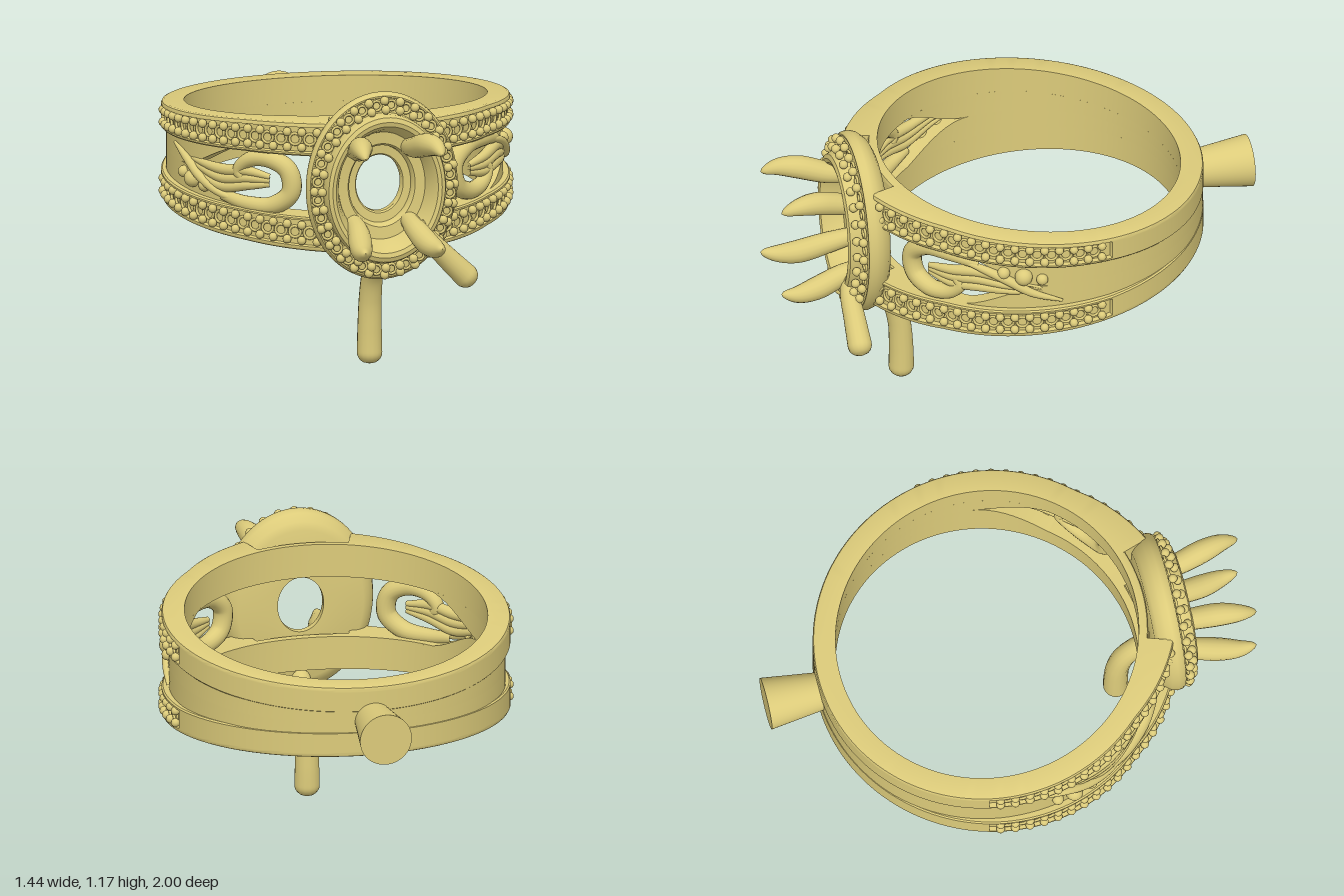
import * as THREE from 'three';
import { mergeGeometries, mergeVertices, toCreasedNormals } from 'three/addons/utils/BufferGeometryUtils.js';

const gold = new THREE.MeshStandardMaterial({ color: 0xdccb7a });
const CY = 0.78, CZ = -0.08, R_IN = 0.612;
const PAVE_START = 0.3, PAVE_END = 1.8, OVAL = 1.23;
const { clamp, lerp, smoothstep } = THREE.MathUtils;

function add(parent, name, geometry) {
  const mesh = new THREE.Mesh(geometry, gold);
  mesh.name = name;
  parent.add(mesh);
  return mesh;
}

// Point on the band: angle from the front, height from the mid-plane, radius
const onBand = (phi, y, r) => new THREE.Vector3(r * Math.sin(phi), y, CZ + r * Math.cos(phi));

// Band dimensions as functions of the angle
const outerR = a => (a < PAVE_START ? 0.65 : lerp(0.755, 0.704, clamp((a - 0.3) / 0.5, 0, 1)));
const zAt = a => CZ + 0.7 * Math.cos(a);
const topY = a => 0.15 + 0.086 * (zAt(a) + 0.78);
const railWidth = a => 0.11 + 0.03 * clamp((zAt(a) + 0.24) / 0.84, 0, 1);
const railY = a => topY(a) - railWidth(a);

// Sweeps a closed [radius, y] section round the finger axis
function sweep(angles, section) {
  const pos = [], index = [];
  const rings = angles.map(phi => section(Math.abs(phi)).map(([r, y]) => onBand(phi, y, r)));
  const n = rings[0].length;
  rings.forEach((ring, j) => ring.forEach((p, i) => {
    pos.push(p.x, p.y, p.z);
    if (j === rings.length - 1) return;
    const a = j * n + i, d = j * n + (i + 1) % n, b = a + n, c = d + n;
    index.push(a, b, c, a, c, d);
  }));
  const g = new THREE.BufferGeometry();
  g.setAttribute('position', new THREE.Float32BufferAttribute(pos, 3));
  g.setIndex(index);
  return toCreasedNormals(g, 0.6);
}

// Tube through points with a radius rule along its length
function taperTube(points, radius, segments = 40) {
  const curve = new THREE.CatmullRomCurve3(points);
  const g = new THREE.TubeGeometry(curve, segments, 1, 16);
  const p = g.attributes.position, v = new THREE.Vector3();
  for (let i = 0; i < p.count; i++) {
    const u = Math.floor(i / 17) / segments, c = curve.getPointAt(u);
    v.fromBufferAttribute(p, i).sub(c).multiplyScalar(Math.max(radius(u), 0.0005)).add(c);
    p.setXYZ(i, v.x, v.y, v.z);
  }
  g.deleteAttribute('uv');
  g.deleteAttribute('normal');
  const merged = mergeVertices(g, 1e-5);
  merged.computeVertexNormals();
  return merged;
}

// Radius factor that rounds off the end of a tube
const roundEnd = (u, e) => (u < 1 - e ? 1 : Math.sqrt(Math.max(0, 1 - ((u - 1 + e) / e) ** 2)));
const V = (x, y, z) => new THREE.Vector3(x, y, z);

// Upper half of the band with one side ornament; turned over it gives the other half
function bandHalf() {
  const half = new THREE.Group();
  const angles = [];
  for (let i = 0; i <= 144; i++) angles.push(-Math.PI + (i / 144) * 2 * Math.PI);
  for (const s of [-1, 1]) for (const a of [PAVE_START, PAVE_END]) angles.push(s * (a - 0.001), s * (a + 0.001));
  angles.sort((a, b) => a - b);

  // Rail, with a sunken channel along the set length
  add(half, 'rail', sweep(angles, a => {
    const lo = railY(a), hi = topY(a), r = outerR(a);
    const d = a > PAVE_START && a < PAVE_END ? 0.02 : 0;
    return [[R_IN, lo], [r - 0.006, lo], [r, lo + 0.006], [r, lo + 0.013], [r - d, lo + 0.016],
      [r - d, hi - 0.022], [r, hi - 0.019], [r, hi - 0.012], [r - 0.004, hi - 0.004], [r - 0.012, hi], [R_IN, hi]];
  }));

  // Web that closes the side window towards the back
  const webAngles = [];
  for (let i = 0; i <= 80; i++) webAngles.push(lerp(0.8, 2 * Math.PI - 0.8, i / 80));
  add(half, 'backWeb', sweep(webAngles, phi => {
    const a = Math.PI - Math.abs(phi - Math.PI);
    const hi = railY(a) + 0.004, lo = hi * (1 - smoothstep(a, 0.85, 1.42));
    const r = lerp(0.675, 0.702, smoothstep(a, 1.4, 2.5));
    return [[R_IN, lo], [r, lo], [r, hi], [R_IN, hi]];
  }));

  // Beads in two rows with round seats between them
  const beads = [], seats = [];
  for (const s of [-1, 1]) for (let k = 0; k < 17; k++) {
    const a = 0.36 + k * 0.086, mid = topY(a) - railWidth(a) / 2 - 0.003, r = outerR(a);
    for (const dy of [-1, 1]) {
      const p = onBand(s * a, mid + dy * railWidth(a) * 0.23, r - 0.004);
      beads.push(new THREE.SphereGeometry(0.018, 12, 8).translate(p.x, p.y, p.z));
    }
    const b = a + 0.043;
    if (b < PAVE_END - 0.03) seats.push(new THREE.TorusGeometry(0.023, 0.006, 6, 16)
      .translate(0, topY(b) - railWidth(b) / 2 - 0.003, outerR(b) - 0.016).rotateY(s * b).translate(0, 0, CZ));
  }
  add(half, 'railBeads', mergeGeometries(beads));
  add(half, 'railSeats', mergeGeometries(seats));

  // Scroll with curling hook, leaf strands and berries
  const path = (pts, r) => pts.map(([phi, y]) => onBand(phi, y, r));
  add(half, 'scrollHook', taperTube(
    path([[1.0, 0.085], [0.82, 0.105], [0.64, 0.1], [0.53, 0.04], [0.55, -0.05], [0.67, -0.09], [0.81, -0.075], [0.88, -0.025], [0.82, 0.01]], 0.672),
    u => lerp(0.022, 0.04, Math.sin(Math.PI * u)) * roundEnd(u, 0.06), 64));
  [[0.03, 0.05, -0.01], [0.0, 0.015, -0.025], [-0.03, -0.02, -0.035]].forEach(([a, b, c]) =>
    add(half, 'leafStrand', taperTube(
      path([[0.66, a * 0.5], [0.82, a], [1.0, b], [1.2, (b + c) / 2], [1.38, c]], 0.672),
      u => 0.006 + 0.017 * Math.sin(Math.PI * Math.min(1, u + 0.1)))));
  add(half, 'leafEdge', taperTube(
    path([[0.85, 0.1], [1.02, 0.075], [1.18, 0.03], [1.32, -0.025], [1.5, -0.07]], 0.685),
    u => 0.006 + 0.014 * Math.sin(Math.PI * u)));
  [[1.27, 0.048, 0.036], [1.15, 0.062, 0.026], [1.38, 0.035, 0.024]].forEach(([phi, y, r]) =>
    add(half, 'berry', new THREE.SphereGeometry(r, 20, 14)).position.copy(onBand(phi, y, 0.68)));
  return half;
}

// Oval setting: stepped bowl, beaded halo and four claws
function setting() {
  const head = new THREE.Group();
  const profile = [[0.095, 0.57], [0.26, 0.57], [0.285, 0.585], [0.308, 0.615], [0.315, 0.64], [0.313, 0.66], [0.305, 0.672],
    [0.3, 0.672], [0.298, 0.668], [0.25, 0.675], [0.25, 0.715], [0.243, 0.733], [0.228, 0.74], [0.213, 0.735], [0.2, 0.715],
    [0.185, 0.67], [0.18, 0.65], [0.14, 0.645], [0.133, 0.635], [0.13, 0.612], [0.1, 0.608], [0.095, 0.6], [0.095, 0.57]];
  const bowl = new THREE.LatheGeometry(profile.map(([r, z]) => new THREE.Vector2(r, z)), 96);
  bowl.scale(1, 1, OVAL).rotateX(Math.PI / 2);
  add(head, 'settingBowl', toCreasedNormals(bowl, 0.6));

  const beads = [], seats = [], n = 28;
  for (let i = 0; i < n; i++) {
    const t = (i / n) * 2 * Math.PI, m = t + Math.PI / n;
    for (const [r, z] of [[0.266, 0.712], [0.293, 0.692]])
      beads.push(new THREE.SphereGeometry(0.0185, 12, 8).translate(r * Math.sin(t), r * OVAL * Math.cos(t), z));
    seats.push(new THREE.TorusGeometry(0.02, 0.006, 6, 16)
      .translate(0.277 * Math.sin(m), 0.277 * OVAL * Math.cos(m), 0.682));
  }
  add(head, 'haloBeads', mergeGeometries(beads));
  add(head, 'haloSeats', mergeGeometries(seats));

  for (const sx of [-1, 1]) for (const sy of [-1, 1])
    add(head, 'claw', taperTube(
      [V(sx * 0.115, sy * 0.15, 0.63), V(sx * 0.12, sy * 0.17, 0.73), V(sx * 0.14, sy * 0.205, 0.85), V(sx * 0.155, sy * 0.21, 0.93), V(sx * 0.16, sy * 0.195, 1.0)],
      u => lerp(0.035, 0.048, Math.sin(Math.PI * Math.min(1, u * 0.9))) * roundEnd(u, 0.5)));
  return head;
}

export function createModel() {
  const model = new THREE.Group();
  model.name = 'ring';

  for (const [name, turn] of [['upperBand', 0], ['lowerBand', Math.PI]]) {
    const half = bandHalf();
    half.name = name;
    half.position.y = CY;
    half.rotation.z = turn;
    model.add(half);
  }

  const head = setting();
  head.name = 'setting';
  head.position.y = CY;
  model.add(head);

  // Casting rods: below the setting, beside the lower claw, and at the back
  add(model, 'lowerRod', taperTube(
    [V(0, 0.48, 0.62), V(0, 0.44, 0.55), V(0, 0.37, 0.495), V(0, 0.27, 0.465), V(0, 0.14, 0.455), V(0, 0, 0.455)],
    u => lerp(0.04, 0.053, u) * roundEnd(u, 0.09), 64));
  add(model, 'sideRod', taperTube(
    [V(0.13, 0.62, 0.7), V(0.18, 0.56, 0.72), V(0.26, 0.475, 0.72), V(0.365, 0.37, 0.72)],
    u => lerp(0.036, 0.052, u) * roundEnd(u, 0.14), 48));
  const backRod = new THREE.CylinderGeometry(0.073, 0.107, 0.26, 48).rotateX(Math.PI / 2);
  add(model, 'backRod', backRod).position.set(0, CY, -0.87);
  return model;
}
